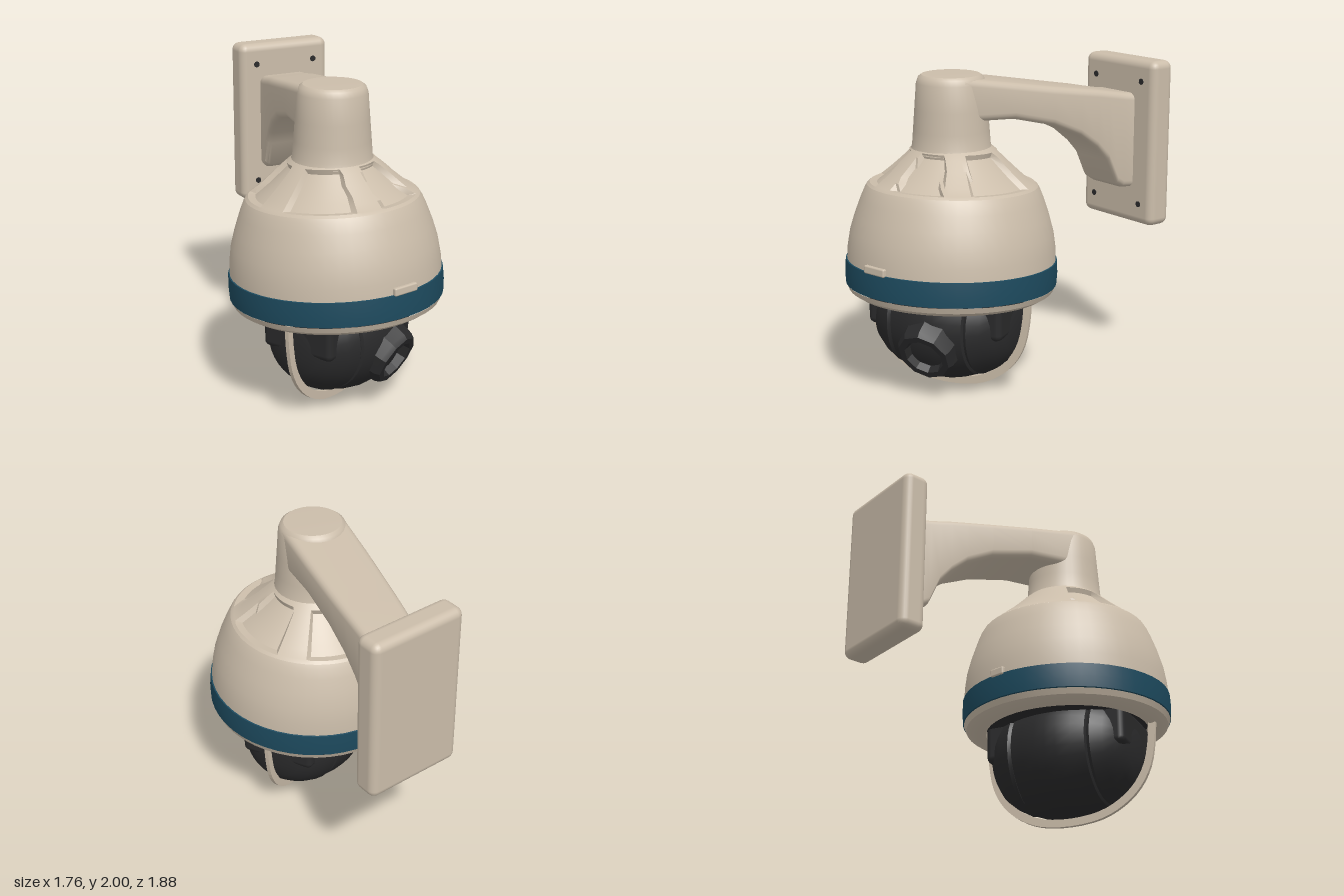
import * as THREE from 'three';
import { toCreasedNormals } from 'three/addons/utils/BufferGeometryUtils.js';
import { RoundedBoxGeometry } from 'three/addons/geometries/RoundedBoxGeometry.js';

const paint = (name, color, side = THREE.FrontSide) => {
  const m = new THREE.MeshStandardMaterial({ color, side });
  m.name = name;
  return m;
};

export function createModel() {
  const beige = paint('beige shell', 0xcbbdaa);
  const blue = paint('blue trim', 0x1d4a5e);
  const black = paint('black plastic', 0x2a2a2b);

  const model = new THREE.Group();
  model.name = 'domeCamera';

  const add = (parent, name, geometry, material, x = 0, y = 0, z = 0) => {
    const mesh = new THREE.Mesh(geometry, material);
    mesh.name = name;
    mesh.position.set(x, y, z);
    parent.add(mesh);
    return mesh;
  };
  const lathe = (points, segments = 48, crease = 0.6) => toCreasedNormals(
    new THREE.LatheGeometry(points.map(([r, y]) => new THREE.Vector2(r, y)), segments), crease);

  // Slightly tilted dome housing; its profiles use heights above the floor
  const tilt = new THREE.Group();
  tilt.name = 'domeHousing';
  tilt.position.set(-0.225, 0.74, 0.285);
  tilt.rotation.x = -0.05;
  model.add(tilt);
  const dome = new THREE.Group();
  dome.name = 'domeShell';
  dome.position.y = -0.74;
  tilt.add(dome);

  add(dome, 'lowerRim', lathe([
    [0.5, 0.67], [0.515, 0.605], [0.55, 0.595], [0.6, 0.605], [0.64, 0.63], [0.655, 0.665],
  ]), beige);
  add(dome, 'trimBand', lathe([[0.64, 0.665], [0.66, 0.67], [0.664, 0.74], [0.66, 0.82], [0.64, 0.825]]), blue);
  add(dome, 'shellWall', lathe([
    [0.652, 0.82], [0.648, 0.9], [0.633, 1.0], [0.605, 1.1], [0.57, 1.2], [0.545, 1.26], [0.53, 1.285],
  ]), beige);
  add(dome, 'innerCeiling', new THREE.CylinderGeometry(0.51, 0.51, 0.02, 48), black, 0, 0.645, 0);

  // Upper cap with recessed wedge pockets between ribs
  const cap = new THREE.LatheGeometry([
    [0.53, 1.285], [0.513, 1.3], [0.507, 1.303], [0.46, 1.34], [0.42, 1.373],
    [0.36, 1.425], [0.3, 1.48], [0.27, 1.505], [0.22, 1.545],
  ].map(([r, y]) => new THREE.Vector2(r, y)), 120);
  const pockets = [[0, 18], [42, 88], [112, 150]];
  const pos = cap.attributes.position;
  for (let i = 0; i < pos.count; i++) {
    const x = pos.getX(i), y = pos.getY(i), z = pos.getZ(i);
    const angle = Math.abs(THREE.MathUtils.radToDeg(Math.atan2(x, z)));
    if (y > 1.302 && y < 1.49 && pockets.some(([a, b]) => angle >= a && angle <= b)) {
      const r = Math.hypot(x, z);
      const k = 1 - 0.04 / r;
      pos.setXYZ(i, x * k, y - 0.006, z * k);
    }
  }
  add(dome, 'ribbedCap', toCreasedNormals(cap, 0.5), beige);

  // Small catches above the trim band
  add(dome, 'frontCatch', new RoundedBoxGeometry(0.17, 0.05, 0.05, 2, 0.01), beige, -0.19, 0.84, 0.615).rotation.y = -0.3;
  add(dome, 'backCatch', new RoundedBoxGeometry(0.1, 0.05, 0.05, 2, 0.01), beige, 0.19, 0.835, -0.615).rotation.y = -0.3;

  // Neck above the dome
  add(model, 'neck', lathe([
    [0.255, 1.5], [0.242, 1.54], [0.235, 1.63], [0.225, 1.76], [0.213, 1.92], [0.2, 1.955], [0.18, 1.97], [0, 1.975],
  ], 40), beige, -0.23, 0, 0.26);

  // Arm: rounded rectangles lofted from neck to wall plate [t, width, top, bottom]
  const sections = [
    [0, 0.42, 1.968, 1.7], [0.3, 0.405, 1.915, 1.69], [0.54, 0.385, 1.87, 1.625], [0.7, 0.37, 1.842, 1.54],
    [0.8, 0.36, 1.825, 1.45], [0.87, 0.35, 1.81, 1.36], [0.93, 0.345, 1.798, 1.2], [0.97, 0.34, 1.79, 1.17],
    [1.05, 0.34, 1.78, 1.165],
  ];
  const verts = [], index = [], ring = 20, corner = 0.045;
  sections.forEach(([t, w, top, bottom], s) => {
    const cx = -0.23 + 0.72 * t, cz = 0.26 - 0.89 * t;
    const blend = THREE.MathUtils.smoothstep(t, 0.5, 1);
    const u = new THREE.Vector2(0.78, 0.62).lerp(new THREE.Vector2(0.89, 0.45), blend).normalize();
    for (let j = 0; j < ring; j++) {
      const q = Math.floor(j / 5), a = (q + (j % 5) / 4) * Math.PI / 2;
      const side = (q === 0 || q === 3 ? 1 : -1) * (w / 2 - corner) + corner * Math.cos(a);
      const y = (q < 2 ? top - corner : bottom + corner) + corner * Math.sin(a);
      verts.push(cx + u.x * side, y, cz + u.y * side);
      if (s < sections.length - 1) {
        const k = s * ring + j, n = s * ring + (j + 1) % ring;
        index.push(k, k + ring, n, n, k + ring, n + ring);
      }
    }
  });
  const arm = new THREE.BufferGeometry();
  arm.setAttribute('position', new THREE.Float32BufferAttribute(verts, 3));
  arm.setIndex(index);
  add(model, 'wallArm', toCreasedNormals(arm, 0.7), beige);

  // Wall plate with four screw holes
  const plate = new THREE.Group();
  plate.name = 'wallPlate';
  plate.position.set(0.56, 1.465, -0.722);
  plate.rotation.y = -0.465;
  model.add(plate);
  add(plate, 'plateBody', new RoundedBoxGeometry(0.645, 1.07, 0.175, 3, 0.05), beige);
  for (const x of [-0.21, 0.21]) for (const y of [-0.4, 0.4]) {
    add(plate, 'screwHole', new THREE.CylinderGeometry(0.02, 0.02, 0.006, 10), black, x, y, 0.088).rotation.x = Math.PI / 2;
  }

  // Camera head: a disc-like ball turning between two yoke cheeks
  const head = new THREE.Group();
  head.name = 'cameraHead';
  head.position.set(-0.222, 0.45, 0.31);
  model.add(head);
  add(head, 'headBall', lathe([
    [0, -0.262], [0.3, -0.262], [0.345, -0.24], [0.375, -0.16], [0.395, -0.07],
    [0.398, 0], [0.395, 0.07], [0.375, 0.16], [0.345, 0.24], [0.3, 0.262], [0, 0.262],
  ], 36), black).rotation.z = Math.PI / 2;
  for (const s of [-1, 1]) {
    const cheek = add(head, s > 0 ? 'leftYoke' : 'rightYoke', lathe([
      [0, 0.25], [0.33, 0.25], [0.34, 0.27], [0.3, 0.34], [0.24, 0.41], [0.17, 0.45], [0.08, 0.465], [0, 0.467],
    ], 32), black);
    cheek.rotation.z = -s * Math.PI / 2;
    // Yoke leg rising to the ceiling
    add(head, 'yokeLeg', new RoundedBoxGeometry(0.19, 0.26, 0.5, 2, 0.04), black, s * 0.365, 0.08, 0);
  }

  // Lens barrel pointing forward and slightly down
  const lens = new THREE.Group();
  lens.name = 'lens';
  lens.position.set(-0.2, 0.298, 0.722);
  lens.rotation.x = 0.43;
  model.add(lens);
  add(lens, 'lensBarrel', lathe([
    [0.22, -0.3], [0.185, -0.03], [0.168, 0], [0.128, 0], [0.112, -0.06], [0, -0.06],
  ], 10, 0.4), black).rotation.x = Math.PI / 2;
  add(lens, 'lensGlass', new THREE.RingGeometry(0.065, 0.108, 20, 1, Math.PI * 0.65, Math.PI * 1.2), blue, 0, 0, -0.055);

  // Thin hoop beneath the dome
  const half = [[0.572, 0.63], [0.562, 0.48], [0.53, 0.32], [0.46, 0.19], [0.35, 0.09], [0.2, 0.022]];
  const edge = (inset) => {
    const k = 1 - inset / 0.57;
    const pts = [...half, [0, 0], ...half.map(([x, y]) => [-x, y]).reverse()];
    return new THREE.SplineCurve(pts.map(([x, y]) => new THREE.Vector2(x * k, 0.63 - (0.63 - y) * k))).getPoints(36);
  };
  const hoop = new THREE.Shape([...edge(0), ...edge(0.045).reverse()]);
  add(model, 'guardHoop', new THREE.ExtrudeGeometry(hoop, { depth: 0.025, bevelEnabled: false }), beige, -0.23, 0, 0.317);

  return model;
}
